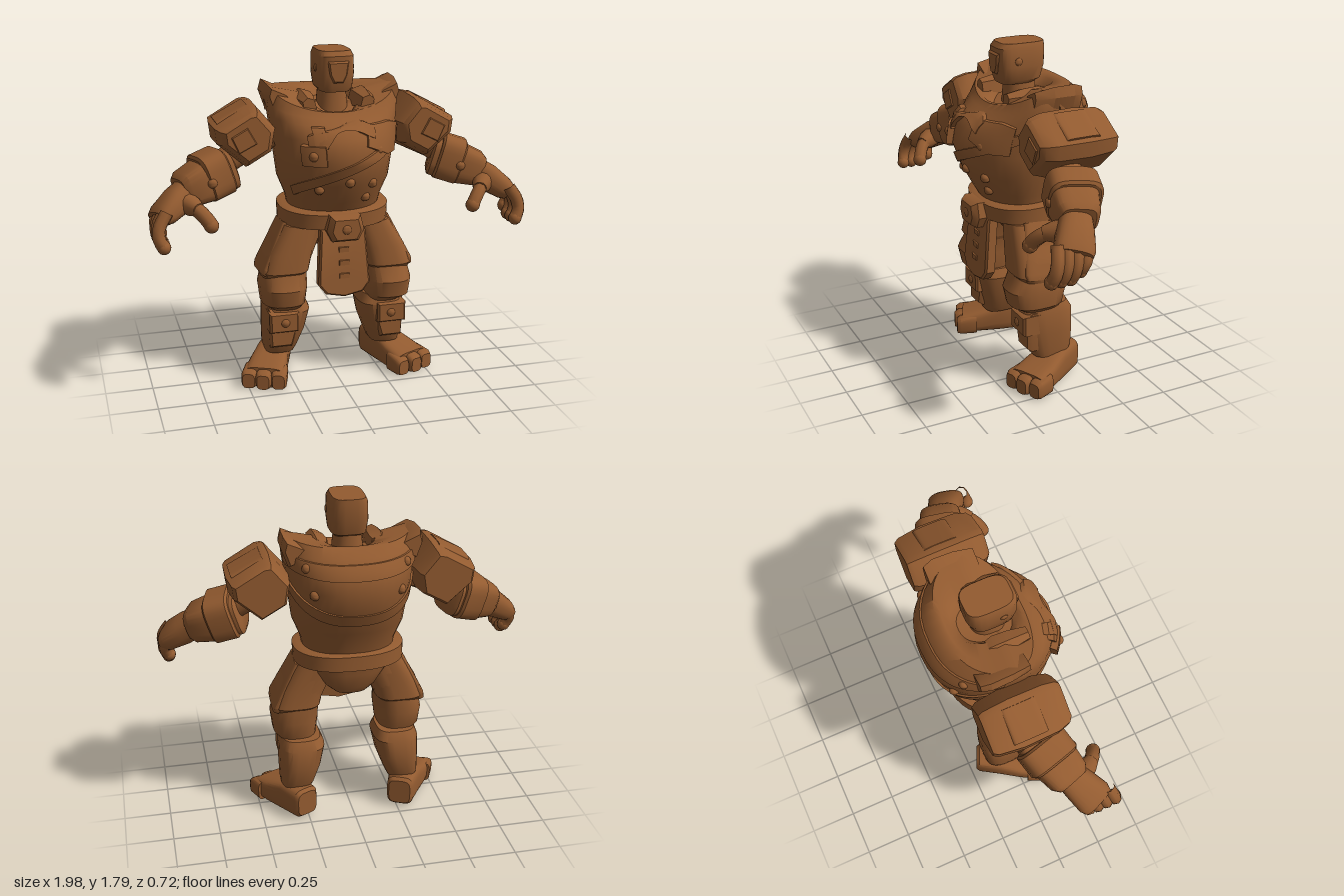
import * as THREE from 'three';
import { toCreasedNormals } from 'three/addons/utils/BufferGeometryUtils.js';

const V = (x, y, z) => new THREE.Vector3(x, y, z);
const spow = (v, e) => Math.sign(v) * Math.abs(v) ** e;

// Closed skin over rows of points, capped at both ends
function skin(rows) {
  const n = rows[0].length, pos = [], idx = [];
  rows.forEach(r => r.forEach(p => pos.push(p.x, p.y, p.z)));
  for (let i = 0; i < rows.length - 1; i++) for (let j = 0; j < n; j++) {
    const a = i * n + j, b = i * n + (j + 1) % n;
    idx.push(a, a + n, b, b, a + n, b + n);
  }
  [0, rows.length - 1].forEach((r, end) => {
    const c = V(0, 0, 0);
    rows[r].forEach(p => c.addScaledVector(p, 1 / n));
    const ci = pos.length / 3;
    pos.push(c.x, c.y, c.z);
    for (let j = 0; j < n; j++) {
      const a = r * n + j, b = r * n + (j + 1) % n;
      end ? idx.push(ci, b, a) : idx.push(ci, a, b);
    }
  });
  const g = new THREE.BufferGeometry();
  g.setAttribute('position', new THREE.Float32BufferAttribute(pos, 3));
  g.setIndex(idx);
  return g;
}

// Rings [y, cx, cz, rx, rz]; e below 1 makes the section boxier
const loft = (rings, e = 0.7, n = 24) => skin(rings.map(([y, cx, cz, rx, rz]) =>
  Array.from({ length: n }, (_, j) => {
    const t = (j + 0.5) / n * Math.PI * 2;
    return V(cx + rx * spow(Math.cos(t), e), y, cz + rz * spow(Math.sin(t), e));
  })));

// Loft laid from point a to point b, ring heights running 0..1
function limb(a, b, rings, e, n) {
  const A = V(...a), y = V(...b).sub(A), len = y.length();
  y.normalize();
  const ref = Math.abs(y.z) > 0.75 ? V(0, 1, 0) : V(0, 0, 1);
  const x = y.clone().cross(ref).normalize(), z = x.clone().cross(y);
  return loft(rings.map(([s, ...r]) => [s * len, ...r]), e, n)
    .applyMatrix4(new THREE.Matrix4().makeBasis(x, y, z).setPosition(A));
}

// Clockwise outline stacked along z, layers [z, scale]
function slab(pts, layers) {
  const cx = pts.reduce((s, p) => s + p[0], 0) / pts.length;
  const cy = pts.reduce((s, p) => s + p[1], 0) / pts.length;
  return skin(layers.map(([z, k]) => pts.map(([x, y]) => V(cx + (x - cx) * k, cy + (y - cy) * k, z))));
}
const plate = (x0, x1, y0, y1, z0, z1) => slab([[x0, y0], [x0, y1], [x1, y1], [x1, y0]],
  [[z0, 1], [z1 - 0.012, 1], [z1, 0.86]]);

// Torso rings: y, half width, front depth, back depth, rise at the shoulders
const TORSO = [[0.94, 0.235, 0.17, 0.22], [1.04, 0.255, 0.23, 0.245], [1.14, 0.295, 0.285, 0.29],
  [1.27, 0.31, 0.335, 0.345], [1.38, 0.325, 0.31, 0.37], [1.48, 0.34, 0.245, 0.355],
  [1.55, 0.347, 0.2, 0.3], [1.59, 0.325, 0.175, 0.25, 0.025], [1.59, 0.25, 0.155, 0.225, 0.01],
  [1.575, 0.14, 0.14, 0.195], [1.53, 0.115, 0.11, 0.165]];
function torsoPoint(t, y, rx, zf, zb, rise = 0, off = 0) {
  const s = Math.sin(t), c = Math.cos(t), front = s > 0, e = front ? 1 : 0.85;
  const drop = front ? s * 0.09 * Math.max(0, Math.min(1, (y - 1.42) / 0.15)) : 0;
  return V((rx + off) * spow(c, e), y - drop + rise * c * c, ((front ? zf : zb) + off) * spow(s, e));
}
function surf(t, y, off) {
  let i = 0;
  while (i < 5 && TORSO[i + 1][0] < y) i++;
  const a = TORSO[i], b = TORSO[i + 1], k = (y - a[0]) / (b[0] - a[0]);
  return torsoPoint(t, y, ...[1, 2, 3].map(m => a[m] + (b[m] - a[m]) * k), 0, off);
}
// Raised strip following the torso; angles in degrees, 90 is the front
function strap(d0, d1, yFn, hFn, off = 0.018, steps = 16) {
  const rows = [];
  for (let i = 0; i <= steps; i++) {
    const u = i / steps, t = THREE.MathUtils.degToRad(d0 + (d1 - d0) * u), y = yFn(u), h = hFn(u);
    rows.push([surf(t, y + h, -0.02), surf(t, y + h * 0.9, off), surf(t, y, off),
      surf(t, y - h * 0.9, off), surf(t, y - h, -0.02)]);
  }
  return skin(rows);
}

export function createModel() {
  const root = new THREE.Group();
  const clay = new THREE.MeshStandardMaterial({ color: 0x935b30 });
  clay.name = 'brown clay';

  function add(name, geo, crease = 0.6) {
    const g = geo.index ? geo.toNonIndexed() : geo;
    const mesh = new THREE.Mesh(toCreasedNormals(g, crease), clay);
    mesh.name = name;
    root.add(mesh);
  }
  // Adds the left part and its reflection
  function pair(name, geo, crease) {
    add(name + 'Left', geo, crease);
    const g = geo.toNonIndexed(), p = g.attributes.position;
    for (let i = 0; i < p.count; i += 3) {
      const c = [0, 2, 1].map(k => V(0, 0, 0).fromBufferAttribute(p, i + k));
      c.forEach((v, k) => p.setXYZ(i + k, -v.x, v.y, v.z));
    }
    add(name + 'Right', g, crease);
  }
  const ball = (p, r, sx = 1, sy = 1, sz = 1) =>
    new THREE.SphereGeometry(r, 14, 10).scale(sx, sy, sz).translate(p.x, p.y, p.z);

  // Head and neck
  add('head', loft([[1.59, 0, 0.01, 0.075, 0.09], [1.61, 0, -0.005, 0.092, 0.112], [1.68, 0, -0.008, 0.1, 0.13],
    [1.775, 0, -0.01, 0.097, 0.13], [1.8, 0, -0.018, 0.085, 0.12]], 0.55));
  add('facePlate', slab([[-0.045, 1.68], [-0.055, 1.75], [0.055, 1.75], [0.045, 1.68], [0.025, 1.64], [-0.025, 1.64]],
    [[0.09, 1], [0.12, 1], [0.13, 0.85]]));
  pair('earStud', ball(V(0.098, 1.71, 0.03), 0.02, 0.4));
  add('neck', loft([[1.48, 0, -0.02, 0.085, 0.09], [1.62, 0, -0.02, 0.07, 0.08]], 0.9));

  // Torso
  add('torso', skin(TORSO.map(([y, rx, zf, zb, rise]) => Array.from({ length: 40 }, (_, j) =>
    torsoPoint(j / 40 * Math.PI * 2, y, rx, zf, zb, rise)))), 0.8);
  add('backHarness', strap(180, 360, u => 1.4 - 0.17 * Math.sin(u * Math.PI), () => 0.035, 0.01, 28));
  add('backYoke', strap(190, 350, u => 1.52 - 0.03 * Math.sin(u * Math.PI), () => 0.04, 0.008, 24));
  add('chestStrap', strap(20, 150, u => 1.38 - 0.28 * u, () => 0.03, 0.015, 24));
  add('chestSash', strap(65, 125, u => 1.42 + 0.06 * Math.sin(u * 5), u => 0.04 + 0.02 * Math.sin(u * 9), 0.022));
  add('chestCloth', strap(30, 72, u => 1.36 + 0.05 * u, u => 0.1 - 0.05 * Math.abs(u - 0.4), 0.018));
  add('chestPouch', strap(110, 132, () => 1.31, () => 0.055, 0.035, 6));
  add('pouchStrap', strap(108, 119, () => 1.41, () => 0.07, 0.025, 5));
  [[87, 1.16], [60, 1.14], [63, 1.06], [121, 1.31], [58, 1.32], [118, 1.12], [230, 1.37], [310, 1.37], [225, 1.5], [315, 1.5]]
    .forEach(([d, y]) => add('stud', ball(surf(THREE.MathUtils.degToRad(d), y, d === 121 ? 0.025 : -0.004), 0.026), 1));
  pair('collarPeak', slab([[0.2, 1.53], [0.24, 1.585], [0.35, 1.635], [0.365, 1.58], [0.33, 1.48]],
    [[-0.2, 0.75], [-0.15, 1], [-0.04, 0.95], [0.06, 0.7]]));
  pair('collarFold', slab([[0.09, 1.5], [0.11, 1.575], [0.17, 1.595], [0.21, 1.56], [0.2, 1.48]],
    [[-0.08, 0.8], [-0.04, 1], [0.04, 0.9], [0.13, 0.6]]));

  // Belt, pelvis and front apron
  add('belt', loft([[0.9, 0, -0.066, 0.27, 0.225], [0.905, 0, -0.066, 0.293, 0.247], [0.985, 0, -0.066, 0.295, 0.25],
    [0.995, 0, -0.066, 0.27, 0.225]], 0.85, 40).applyMatrix4(new THREE.Matrix4().makeRotationX(0.05)));
  add('buckle', slab([[-0.07, 0.84], [-0.1, 0.9], [-0.08, 0.98], [0.08, 0.98], [0.1, 0.9], [0.07, 0.84]],
    [[0.15, 1], [0.26, 1], [0.29, 0.75]]));
  add('buckleStud', ball(V(0, 0.91, 0.28), 0.03, 1, 1, 0.6));
  add('pelvis', loft([[0.74, 0, -0.08, 0.09, 0.08], [0.78, 0, -0.06, 0.14, 0.125], [0.86, 0, -0.035, 0.2, 0.165],
    [0.96, 0, -0.02, 0.23, 0.2]], 0.75));
  const apron = slab([[-0.12, 0.9], [0.12, 0.9], [0.14, 0.6], [0.1, 0.55], [0, 0.53], [-0.1, 0.55], [-0.14, 0.6]],
    [[-0.03, 1], [0.015, 1], [0.025, 0.93]]);
  const ap = apron.attributes.position;
  for (let i = 0; i < ap.count; i++) ap.setZ(i, ap.getZ(i) + 0.23 - (ap.getY(i) - 0.53) * 0.1);
  add('frontApron', apron);
  [0.63, 0.7, 0.77].forEach(y => add('apronTab', plate(-0.03, 0.03, y, y + 0.03, 0.2, 0.26 - (y - 0.53) * 0.1)));

  // Legs
  pair('thigh', loft([[0.43, 0.275, 0.01, 0.09, 0.11], [0.47, 0.29, 0.035, 0.117, 0.145], [0.56, 0.29, 0.035, 0.127, 0.165],
    [0.64, 0.28, 0.02, 0.12, 0.14], [0.88, 0.17, 0, 0.11, 0.13]], 0.75));
  pair('thighGuard', loft([[0.62, 0.295, 0.02, 0.115, 0.12], [0.65, 0.285, 0.02, 0.132, 0.15],
    [0.75, 0.255, 0.02, 0.123, 0.145], [0.9, 0.19, 0.01, 0.1, 0.14]], 0.6));
  pair('sideTasset', limb([0.27, 0.9, 0], [0.4, 0.63, 0.02], [[0, 0, 0, 0.025, 0.09], [0.9, 0, 0, 0.03, 0.12],
    [1, 0, 0, 0.02, 0.11]], 0.4));
  pair('calf', loft([[0.16, 0.3, -0.045, 0.08, 0.1], [0.2, 0.293, -0.045, 0.092, 0.12], [0.3, 0.275, -0.035, 0.112, 0.14],
    [0.41, 0.263, -0.025, 0.124, 0.15], [0.46, 0.265, -0.02, 0.105, 0.125]], 0.65));
  pair('shinPlate', slab([[0.25, 0.21], [0.225, 0.3], [0.225, 0.43], [0.375, 0.43], [0.375, 0.3], [0.37, 0.21]],
    [[0, 1], [0.085, 1], [0.11, 0.85]]));
  pair('shinBand', plate(0.22, 0.38, 0.31, 0.42, 0.02, 0.14));
  pair('shinStud', ball(V(0.295, 0.365, 0.135), 0.025, 1, 1, 0.6));

  // Feet and toes
  pair('foot', limb([0.26, 0, -0.2], [0.42, 0, 0.14], [[0, 0, 0.105, 0.06, 0.07], [0.05, 0, 0.105, 0.073, 0.085],
    [0.4, 0, 0.098, 0.088, 0.088], [0.7, 0, 0.08, 0.105, 0.07], [1, 0, 0.065, 0.11, 0.055]], 0.5));
  [[0.345, 0.17], [0.425, 0.15], [0.495, 0.11]].forEach(([x, z]) =>
    pair('toe', limb([x - 0.03, 0, z - 0.07], [x + 0.01, 0, z + 0.035], [[0, 0, 0.065, 0.038, 0.055],
      [0.8, 0, 0.06, 0.043, 0.05], [1, 0, 0.055, 0.033, 0.04]], 0.55, 16)));

  // Shoulder guards
  pair('shoulderGuard', slab([[0.32, 1.42], [0.42, 1.54], [0.46, 1.535], [0.64, 1.43], [0.63, 1.35], [0.48, 1.22], [0.34, 1.3]],
    [[-0.255, 0.8], [-0.23, 0.9], [-0.1, 1], [0.08, 0.97], [0.145, 0.85], [0.165, 0.7]]));
  pair('shoulderRidge', limb([0.45, 1.52, -0.06], [0.61, 1.435, -0.06],
    [[0, 0, 0, 0.02, 0.09], [1, 0, 0, 0.02, 0.09]], 0.4));
  pair('shoulderPanel', slab([[0.43, 1.36], [0.48, 1.45], [0.57, 1.4], [0.53, 1.31]], [[0.1, 1], [0.16, 1], [0.172, 0.85]]));

  // Arms and bracers
  pair('upperArm', limb([0.36, 1.37, -0.04], [0.66, 1.19, 0.02],
    [[0, 0, 0, 0.09, 0.1], [0.6, 0, 0, 0.068, 0.08], [1, 0, 0, 0.065, 0.075]], 0.9));
  pair('bracer', limb([0.55, 1.205, -0.01], [0.82, 1.12, 0.08], [[0, 0, 0, 0.08, 0.09], [0.04, 0, 0, 0.105, 0.11],
    [0.5, 0, 0, 0.112, 0.122], [0.9, 0, 0, 0.092, 0.108], [1, 0, 0, 0.07, 0.085]], 0.55));
  pair('bracerCuff', limb([0.585, 1.205, 0], [0.71, 1.165, 0.035],
    [[0, 0, 0, 0.112, 0.122], [0.08, 0, 0, 0.124, 0.135], [0.92, 0, 0, 0.124, 0.135], [1, 0, 0, 0.11, 0.122]], 0.55));
  pair('bracerStud', ball(V(0.665, 1.17, 0.155), 0.025, 1, 1, 0.7));

  // Hands: palm, curled fingers and thumb
  pair('palm', limb([0.77, 1.13, 0.07], [0.945, 1.01, 0.17], [[0, 0, 0, 0.07, 0.075], [0.4, 0, 0, 0.075, 0.09],
    [0.85, 0, 0, 0.06, 0.1], [1, 0, 0, 0.045, 0.09]], 0.75));
  const finger = (pts, r) => new THREE.TubeGeometry(new THREE.CatmullRomCurve3(pts.map(p => V(...p))), 8, r, 8);
  for (let i = 0; i < 4; i++) {
    const z = 0.1 + i * 0.05, y = i === 0 ? 0.03 : 0;
    const tip = [0.935, 0.895 + y, z + 0.033];
    pair('finger', finger([[0.91, 1.06, z - 0.01], [0.952, 0.99, z + 0.01], [0.955, 0.935 + y, z + 0.023], tip], 0.034), 1);
    pair('fingertip', ball(V(...tip), 0.035), 1);
  }
  pair('thumbBase', limb([0.83, 1.09, 0.1], [0.75, 1.06, 0.23],
    [[0, 0, 0, 0.06, 0.06], [0.7, 0, 0, 0.05, 0.05], [1, 0, 0, 0.035, 0.035]], 0.9, 14));
  pair('thumb', finger([[0.79, 1.08, 0.17], [0.745, 1.05, 0.23], [0.71, 1.01, 0.26], [0.695, 0.985, 0.27]], 0.037), 1);
  pair('thumbTip', ball(V(0.695, 0.985, 0.27), 0.038), 1);

  return root;
}
